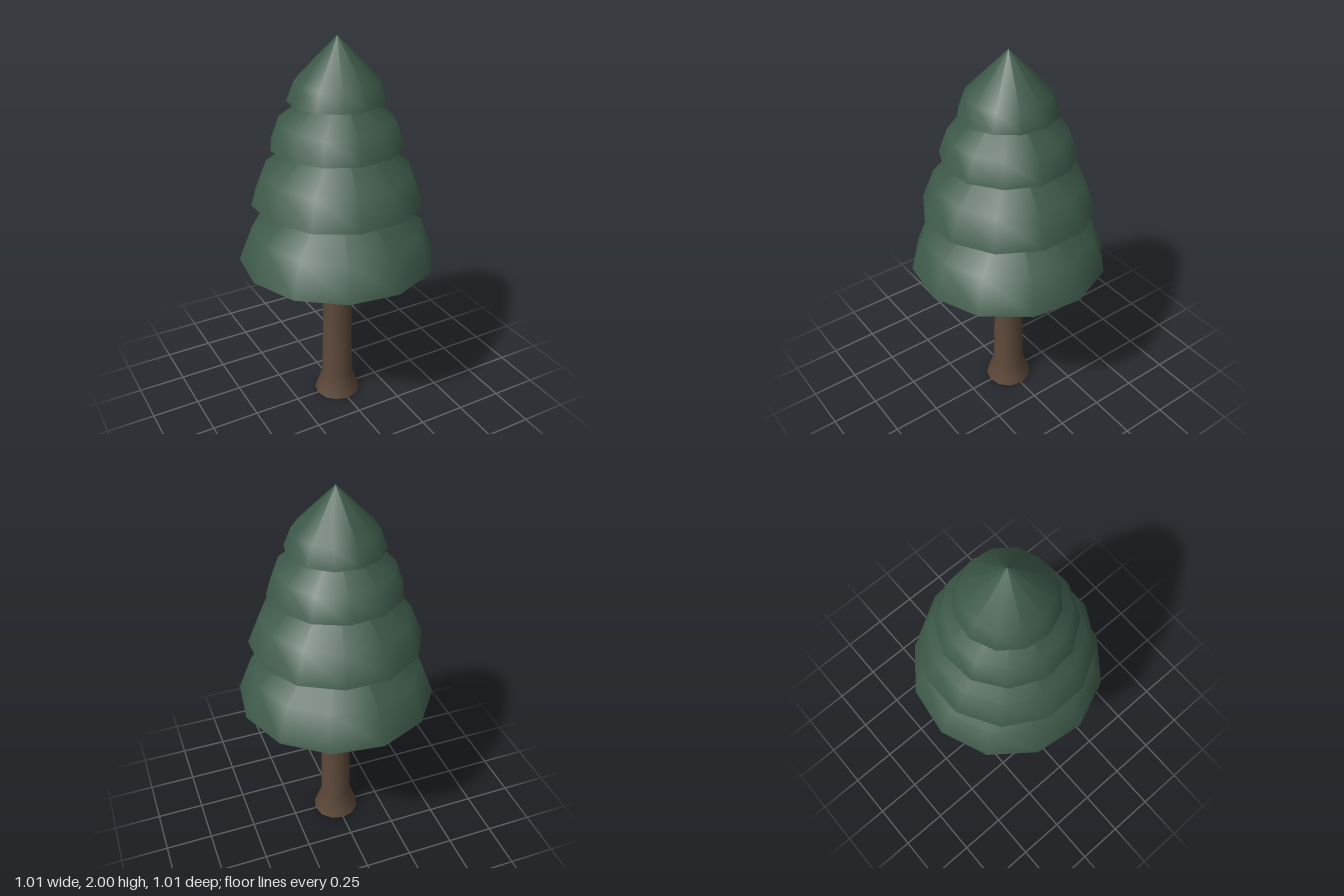
import * as THREE from 'three';

const SIDES = 12;

export function createModel() {
  const foliage = new THREE.MeshStandardMaterial({ color: 0x3c5848, side: THREE.DoubleSide });
  foliage.name = 'pine green';
  const bark = new THREE.MeshStandardMaterial({ color: 0x5c4839, side: THREE.DoubleSide });
  bark.name = 'bark brown';

  const tree = new THREE.Group();
  tree.name = 'pineTree';

  const lathe = (name, profile, material) => {
    const points = profile.map(([r, y]) => new THREE.Vector2(r, y));
    const mesh = new THREE.Mesh(new THREE.LatheGeometry(points, SIDES), material);
    mesh.name = name;
    tree.add(mesh);
    return mesh;
  };

  // Hollow trunk with a flared foot, running up into the second tier
  lathe('trunk', [[0.125, 0], [0.083, 0.125], [0.078, 0.5], [0.074, 0.86], [0.067, 1.5]], bark);

  // Foliage tiers: rim radius and height, shoulder radius and height, tip height, turn in degrees
  const tiers = [
    [0.507, 0.86, 0.437, 1.04, 1.375, 7.4],
    [0.437, 1.19, 0.375, 1.345, 1.64, -14.2],
    [0.336, 1.475, 0.291, 1.595, 1.82, -9.3],
    [0.243, 1.697, 0.207, 1.788, 2, 8],
  ];
  tiers.forEach(([rimR, rimY, midR, midY, tipY, turn], i) => {
    const tier = lathe(`foliageTier${i + 1}`, [[rimR, rimY], [midR, midY], [0, tipY]], foliage);
    tier.rotation.y = THREE.MathUtils.degToRad(turn);
  });

  // Flat underside closing the lowest tier; the upper ones are open
  const [rimR, rimY, , , , turn] = tiers[0];
  const underside = new THREE.Mesh(new THREE.CircleGeometry(rimR, SIDES).rotateX(Math.PI / 2), foliage);
  underside.name = 'foliageUnderside';
  underside.position.y = rimY;
  underside.rotation.y = THREE.MathUtils.degToRad(turn);
  tree.add(underside);

  return tree;
}
